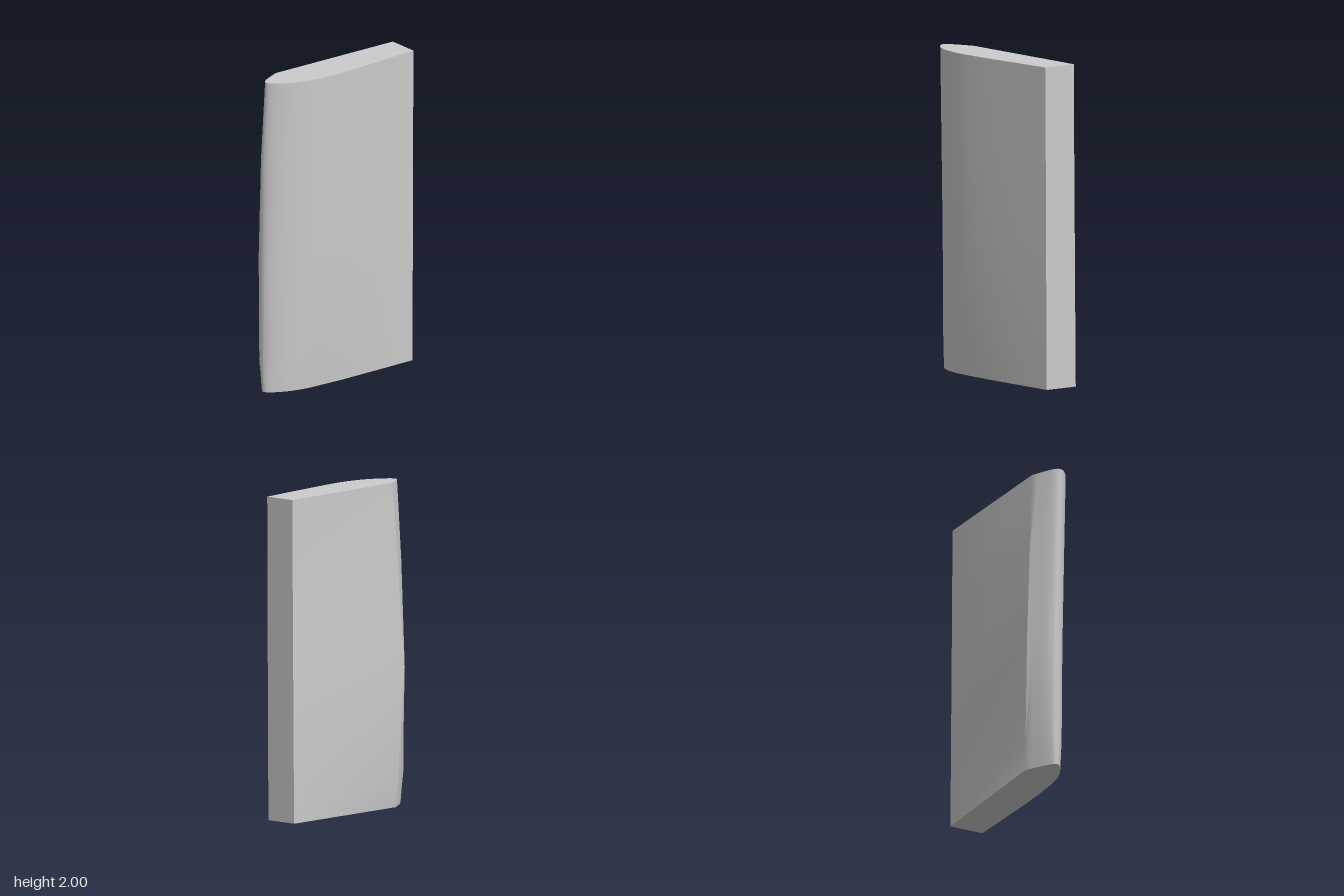
import * as THREE from 'three';
import { toCreasedNormals } from 'three/addons/utils/BufferGeometryUtils.js';

// Cross-sections [x, z] from the rear -x corner, around the nose, to the rear +x corner
const sections = [
  { y: 0, p: [[-.17, -.555], [-.125, .38], [-.035, .51], [0, .545], [.03, .535], [.07, .47], [.095, .4], [.11, .3], [.11, .2], [.1, 0], [.05, -.555]] },
  { y: .2, p: [[-.168, -.555], [-.13, .395], [-.035, .54], [-.01, .555], [.03, .54], [.08, .47], [.108, .39], [.126, .29], [.127, .2], [.113, 0], [.051, -.555]] },
  { y: .85, p: [[-.163, -.555], [-.142, .44], [-.03, .55], [0, .555], [.035, .54], [.085, .47], [.125, .37], [.146, .26], [.146, .18], [.13, 0], [.055, -.555]] },
  { y: 1.5, p: [[-.158, -.555], [-.11, .415], [-.012, .545], [.015, .555], [.05, .535], [.105, .455], [.14, .365], [.16, .25], [.159, .17], [.14, 0], [.058, -.555]] },
  { y: 2, p: [[-.155, -.555], [-.08, .385], [0, .52], [.03, .54], [.06, .53], [.12, .445], [.15, .36], [.165, .24], [.163, .16], [.145, 0], [.06, -.555]] },
];

// Flat -x side stays straight; the nose and the +x side follow a smooth curve
function ring({ y, p }) {
  const pts = p.map(([x, z]) => new THREE.Vector3(x, y, z));
  const curve = new THREE.CatmullRomCurve3(pts.slice(1));
  return [pts[0], ...curve.getPoints(36)];
}

// Loft the rings and close both ends
function loft(rings) {
  const n = rings[0].length;
  const last = rings.length - 1;
  const position = rings.flat().flatMap((v) => v.toArray());
  const index = [];
  for (let r = 0; r < last; r++) {
    for (let i = 0; i < n; i++) {
      const j = (i + 1) % n;
      const a = r * n + i, b = r * n + j;
      index.push(a, b, b + n, a, b + n, a + n);
    }
  }
  for (let i = 1; i < n - 1; i++) {
    index.push(0, i + 1, i);
    index.push(last * n, last * n + i, last * n + i + 1);
  }
  const geometry = new THREE.BufferGeometry();
  geometry.setAttribute('position', new THREE.Float32BufferAttribute(position, 3));
  geometry.setIndex(index);
  return toCreasedNormals(geometry, 0.55);
}

export function createModel() {
  const group = new THREE.Group();
  const blade = new THREE.Mesh(
    loft(sections.map(ring)),
    new THREE.MeshStandardMaterial({ color: 0xcccccc }),
  );
  blade.name = 'bladePanel';
  group.add(blade);
  return group;
}
